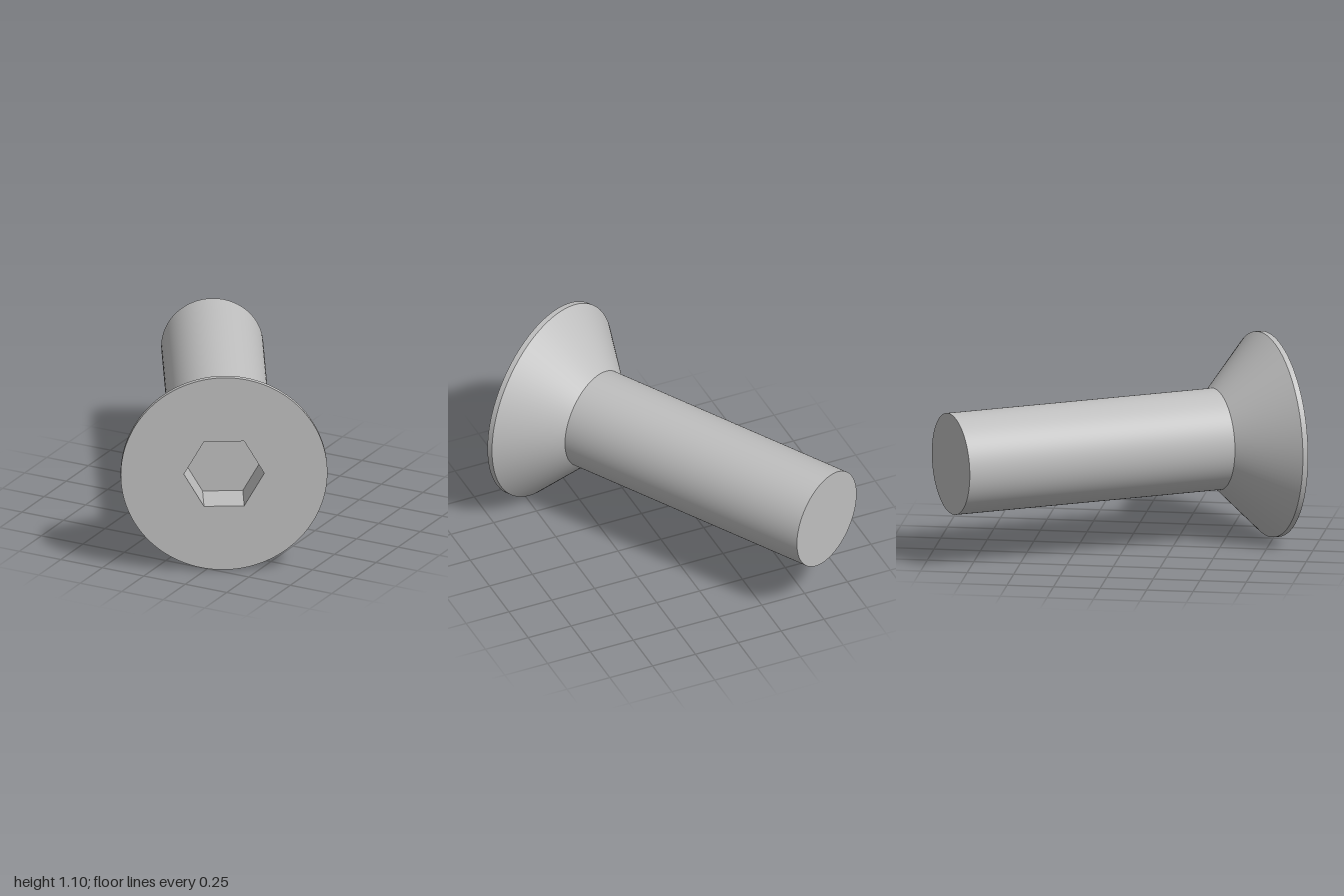
import * as THREE from 'three';

const HEAD_R = 0.55, SHANK_R = 0.272, HEX_R = 0.214;
const RIM = 0.03, HEAD = 0.308, LENGTH = 1.827, SOCKET = 0.22;
const SIDES = 96;

export function createModel() {
  const steel = new THREE.MeshStandardMaterial({ color: 0xbfbfbf });
  steel.name = 'steel grey';

  // Local frame: the driven face lies at z = 0 and the shank runs towards -z
  const screw = new THREE.Group();
  screw.name = 'countersunkScrew';

  const add = (name, geometry, z = 0) => {
    const mesh = new THREE.Mesh(geometry, steel);
    mesh.name = name;
    mesh.position.z = z;
    screw.add(mesh);
    return mesh;
  };

  // Open round wall between two depths
  const wall = (name, rFront, rBack, zFront, zBack) =>
    add(name, new THREE.CylinderGeometry(rFront, rBack, zFront - zBack, SIDES, 1, true)
      .rotateX(Math.PI / 2), (zFront + zBack) / 2);

  wall('headRim', HEAD_R, HEAD_R, 0, -RIM);
  wall('headCone', HEAD_R, SHANK_R, -RIM, -HEAD);
  wall('shank', SHANK_R, SHANK_R, -HEAD, -LENGTH);
  add('shankEnd', new THREE.CircleGeometry(SHANK_R, SIDES).rotateY(Math.PI), -LENGTH);

  // Head face with the hexagonal opening
  const face = new THREE.Shape().absarc(0, 0, HEAD_R, 0, Math.PI * 2);
  const corners = Array.from({ length: 6 }, (_, i) =>
    new THREE.Vector2(Math.cos(i * Math.PI / 3), Math.sin(i * Math.PI / 3)).multiplyScalar(HEX_R));
  face.holes.push(new THREE.Path(corners));
  add('headFace', new THREE.ShapeGeometry(face, SIDES));

  // Socket walls, turned to face inwards
  const hex = new THREE.CylinderGeometry(HEX_R, HEX_R, SOCKET, 6, 1, true, Math.PI / 2)
    .rotateX(Math.PI / 2);
  hex.index.array.reverse();
  const inner = hex.toNonIndexed();
  inner.computeVertexNormals();
  add('socketWalls', inner, -SOCKET / 2);
  add('socketFloor', new THREE.CircleGeometry(HEX_R, 6), -SOCKET);

  // Turn the screw to its resting direction
  screw.rotation.y = Math.PI / 6;
  screw.position.set(0.335, HEAD_R, 0.72);

  const model = new THREE.Group();
  model.name = 'screwModel';
  model.add(screw);
  return model;
}
